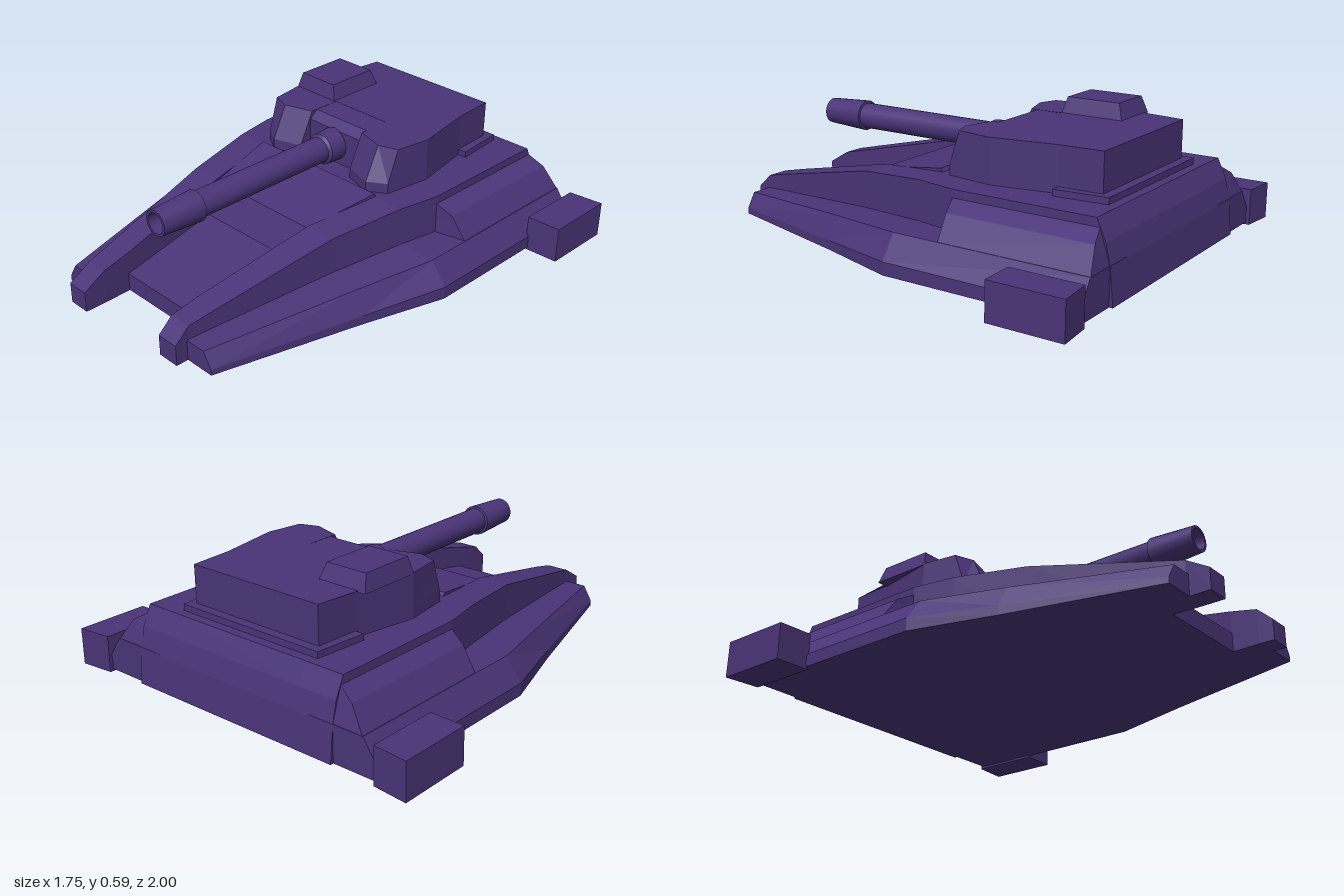
import * as THREE from 'three';
import { toCreasedNormals } from 'three/addons/utils/BufferGeometryUtils.js';

const flat = new THREE.MeshStandardMaterial({ color: 0x4a3478, flatShading: true });
const smooth = new THREE.MeshStandardMaterial({ color: 0x4a3478 });

// Skin a row of convex rings of [x, y, z] and cap both ends; faces are turned outward.
function loft(rings) {
  const n = rings[0].length, tris = [];
  for (let r = 0; r < rings.length - 1; r++) {
    for (let i = 0; i < n; i++) {
      const j = (i + 1) % n, a = rings[r], b = rings[r + 1];
      tris.push([a[i], a[j], b[j]], [a[i], b[j], b[i]]);
    }
  }
  const first = rings[0], last = rings[rings.length - 1];
  for (let i = 1; i < n - 1; i++) {
    tris.push([first[0], first[i + 1], first[i]], [last[0], last[i], last[i + 1]]);
  }
  let volume = 0;
  for (const [a, b, c] of tris) {
    volume += new THREE.Vector3(...a).dot(new THREE.Vector3(...b).cross(new THREE.Vector3(...c)));
  }
  const pos = tris.flatMap(([a, b, c]) => (volume < 0 ? [a, c, b] : [a, b, c])).flat();
  const g = new THREE.BufferGeometry();
  g.setAttribute('position', new THREE.Float32BufferAttribute(pos, 3));
  g.computeVertexNormals();
  return g;
}

// Rectangular section across the hull.
const rect = (x0, x1, y0, y1, z) => [[x0, y0, z], [x1, y0, z], [x1, y1, z], [x0, y1, z]];
// Horizontal outline of [x, z] points at height y.
const outline = (pts, y) => pts.map(([x, z]) => [x, y, z]);
const flip = (rings, s) => rings.map(r => r.map(([x, y, z]) => [x * s, y, z]));

export function createModel() {
  const model = new THREE.Group();
  const add = (name, geometry, material = flat) => {
    const m = new THREE.Mesh(geometry, material);
    m.name = name;
    model.add(m);
    return m;
  };
  const floor = 0.01;

  // Centre hull: low front deck, step, raised lip, turret deck and sloping tail
  add('centreHull', loft([
    [0.22, 0.09, 0.78], [0.28, 0.155, 0.30], [0.28, 0.295, 0.24], [0.34, 0.35, -0.09],
    [0.34, 0.335, -0.1], [0.34, 0.335, -0.91], [0.34, 0.25, -0.95], [0.34, 0.16, -0.97], [0.34, 0.012, -0.985],
  ].map(([w, y, z]) => rect(-w, w, floor, y, z))));

  for (const s of [1, -1]) {
    const side = s > 0 ? 'left' : 'right';
    const tip = s > 0 ? 0.965 : 1.0;

    // Tall rail running from the front prong to the tail
    add(side + 'Rail', loft(flip([
      [0.215, 0.315, 0.10, tip], [0.215, 0.315, 0.16, 0.9], [0.22, 0.333, 0.187, 0.78],
      [0.28, 0.42, 0.305, 0.24], [0.34, 0.485, 0.335, -0.09], [0.34, 0.52, 0.335, -0.28],
      [0.34, 0.52, 0.335, -0.91], [0.34, 0.52, 0.25, -0.95], [0.34, 0.52, 0.16, -0.97], [0.34, 0.52, 0.012, -0.985],
    ].map(([a, b, y, z]) => rect(a, b, floor, y, z)), s)));

    // Low outer skirt with a bevelled edge
    add(side + 'Skirt', loft(flip([
      [0.28, 0.45, 0.035, 0.41, 0.10, 0.91], [0.3, 0.62, 0.05, 0.57, 0.145, 0.27],
      [0.4, 0.73, 0.065, 0.66, 0.165, -0.1], [0.4, 0.73, 0.065, 0.66, 0.165, -0.97],
    ].map(([inner, outer, mid, top, y, z]) => [
      [inner, floor, z], [outer, floor, z], [outer, mid, z], [top, y, z], [inner, y, z],
    ]), s)));

    // Faceted shoulder above the rear skirt: [x, y, front z, back z]
    const shoulder = [[0.48, 0.15, -0.27, -0.97], [0.66, 0.16, -0.31, -0.97], [0.59, 0.26, -0.30, -0.945],
      [0.52, 0.30, -0.28, -0.925], [0.48, 0.30, -0.27, -0.925]];
    add(side + 'Shoulder', loft(flip([
      shoulder.map(([x, y, f]) => [x, y, f]), shoulder.map(([x, y, , b]) => [x, y, b]),
    ], s)));

    // Rear side pod
    const pod = [[0.72, -0.67], [0.875, -0.675], [0.875, -1.0], [0.72, -0.985]];
    add(side + 'Pod', loft(flip([outline(pod, 0), outline(pod, 0.16)], s)));

    // Angled turret cheek beside the gun
    const foot = [[0.15, -0.36], [0.39, -0.36], [0.36, -0.15], [0.28, -0.10], [0.15, -0.14]];
    const brow = [[0.15, -0.36], [0.39, -0.36], [0.365, -0.20], [0.28, -0.17], [0.15, -0.21]];
    add(side + 'Cheek', loft(flip([outline(foot, 0.33), outline(foot, 0.38), outline(brow, 0.525)], s)));
  }

  // Turret body on a thin rear plate
  const body = [[-0.39, -0.36], [-0.34, -0.64], [-0.33, -0.83], [0.33, -0.83], [0.34, -0.64], [0.39, -0.36]];
  add('turretBody', loft([outline(body, 0.33), outline(body, 0.525)]));
  const plate = [[-0.38, -0.64], [-0.36, -0.87], [0.36, -0.87], [0.38, -0.64]];
  add('turretPlate', loft([outline(plate, 0.33), outline(plate, 0.362)]));

  // Gun mantlet between the cheeks
  add('mantlet', loft([
    [[-0.15, 0.33, -0.36], [0.15, 0.33, -0.36], [0.15, 0.33, -0.2], [-0.15, 0.33, -0.2]],
    [[-0.15, 0.49, -0.36], [0.15, 0.49, -0.36], [0.15, 0.49, -0.2], [-0.15, 0.49, -0.2]],
    [[-0.15, 0.524, -0.36], [0.15, 0.524, -0.36], [0.15, 0.524, -0.24], [-0.15, 0.524, -0.24]],
  ]));

  // Tapered hatch on the right of the turret roof
  add('roofHatch', loft([
    outline([[-0.39, -0.64], [-0.155, -0.64], [-0.155, -0.355], [-0.39, -0.355]], 0.52),
    outline([[-0.372, -0.615], [-0.178, -0.615], [-0.178, -0.372], [-0.372, -0.372]], 0.592),
  ]));

  // Gun: collar, barrel and hollow muzzle sleeve, turned about its axis
  const profile = [[0, -0.24], [0.075, -0.24], [0.07, -0.12], [0.057, -0.11], [0.057, 0.58],
    [0.068, 0.582], [0.057, 0.785], [0.045, 0.785], [0.045, 0.6], [0, 0.6]];
  const gun = new THREE.LatheGeometry(profile.map(([r, z]) => new THREE.Vector2(r, z)), 24);
  gun.rotateX(Math.PI / 2);
  add('gunBarrel', toCreasedNormals(gun, 0.6), smooth).position.set(-0.005, 0.422, 0);

  return model;
}
